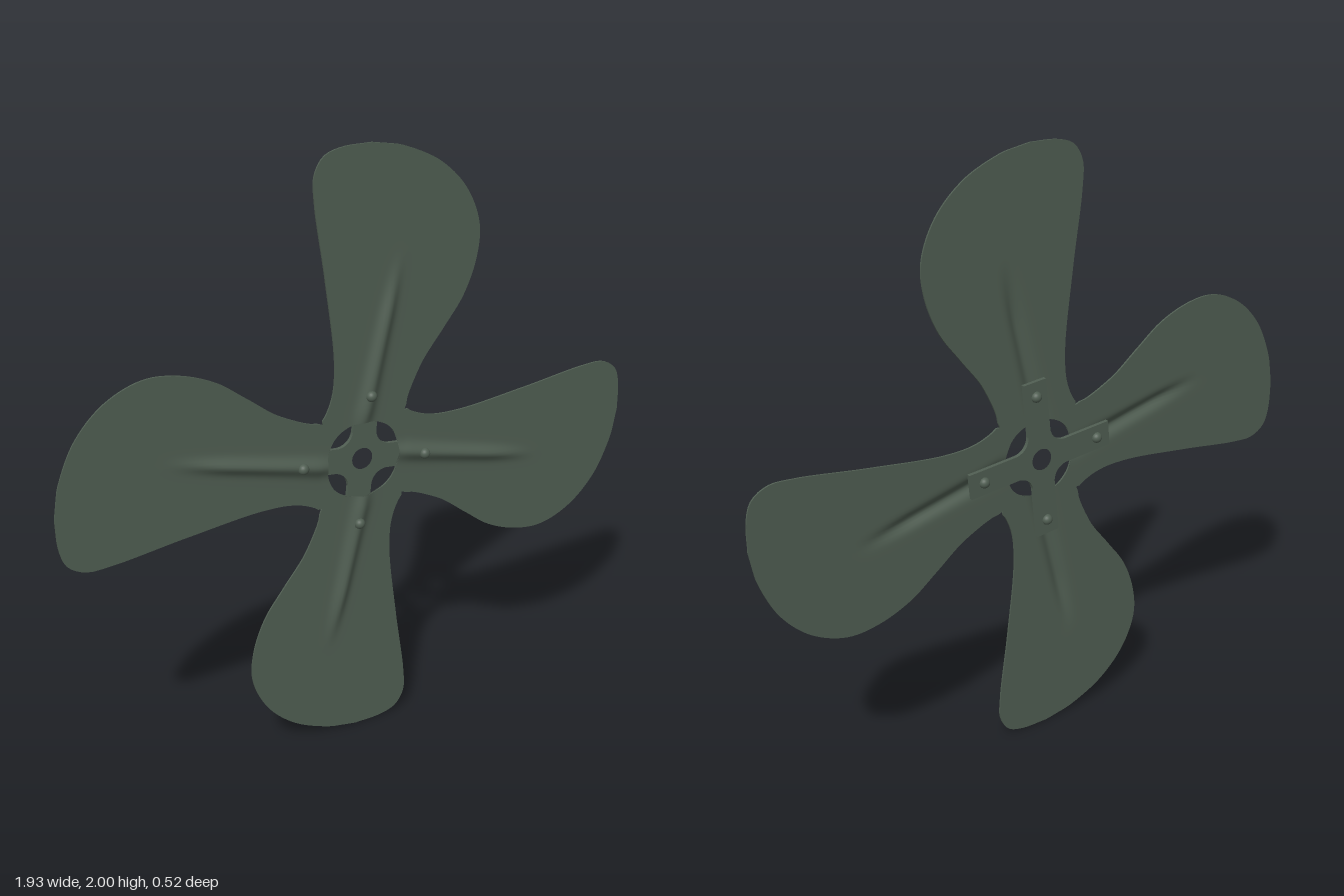
import * as THREE from 'three';
import { mergeGeometries } from 'three/addons/utils/BufferGeometryUtils.js';

const HUB_R = 0.133, HALF = 0.003, ROWS = 64, COLS = 48;
const V = (x, y) => new THREE.Vector2(x, y);
const curve = (pts) => new THREE.CatmullRomCurve3(pts.map(([x, y]) => new THREE.Vector3(x, y, 0)), false, 'centripetal');

// Both edges of one blade, from the notch beside the hub out to the tip
const leftEdge = curve([[-0.164, 0.172], [-0.138, 0.186], [-0.108, 0.233], [-0.098, 0.34], [-0.126, 0.605],
  [-0.158, 0.843], [-0.158, 0.923], [-0.126, 0.976], [-0.07, 0.996], [0.03, 1]]);
const rightEdge = curve([[0.172, 0.164], [0.17, 0.196], [0.207, 0.286], [0.285, 0.39], [0.356, 0.488],
  [0.4, 0.605], [0.406, 0.71], [0.356, 0.828], [0.258, 0.923], [0.131, 0.981], [0.1, 0.988]]);

// Short straight run from the hub opening to the notch, then the curved edge
function edgePoint(edge, t) {
  const k = 0.1;
  if (t >= k) return edge.getPointAt((t - k) / (1 - k));
  const notch = edge.getPointAt(0);
  return notch.clone().setLength(HUB_R).lerp(notch, t / k);
}

// Height of the pressed rib that runs along the blade
function ribHeight(x, y) {
  const a = V(0, 0.13), d = V(0.127, 0.525), len = d.length();
  d.normalize();
  const px = x - a.x, py = y - a.y;
  const along = (px * d.x + py * d.y) / len, across = px * d.y - py * d.x;
  const width = 0.026 - 0.008 * THREE.MathUtils.clamp(along, 0, 1);
  const fade = THREE.MathUtils.smoothstep(along, -0.15, 0.1) * (1 - THREE.MathUtils.smoothstep(along, 0.6, 1.04));
  return 0.018 * fade * Math.exp(-((across / width) ** 2));
}

function bladePoint(s, t, side) {
  const p = edgePoint(leftEdge, t).lerp(edgePoint(rightEdge, t), s);
  const bow = Math.max(0, 1 - t / 0.2);
  p.lerp(p.clone().setLength(HUB_R), bow * bow);
  p.z = ribHeight(p.x, p.y) + side * HALF;
  return p;
}

// Smooth surface over a grid of points
function gridGeometry(nu, nv, fn) {
  const pos = [], index = [];
  for (let j = 0; j <= nv; j++) for (let i = 0; i <= nu; i++) pos.push(...fn(i / nu, j / nv).toArray());
  for (let j = 0; j < nv; j++) for (let i = 0; i < nu; i++) {
    const a = j * (nu + 1) + i, b = a + nu + 1;
    index.push(a, a + 1, b + 1, a, b + 1, b);
  }
  const g = new THREE.BufferGeometry();
  g.setAttribute('position', new THREE.Float32BufferAttribute(pos, 3));
  g.setIndex(index);
  g.computeVertexNormals();
  return g;
}

function bladeGeometry() {
  return mergeGeometries([
    gridGeometry(COLS, ROWS, (s, t) => bladePoint(s, t, 1)),
    gridGeometry(COLS, ROWS, (s, t) => bladePoint(1 - s, t, -1)),
    // thin rim: left, right, tip and hub opening
    gridGeometry(1, ROWS, (w, t) => bladePoint(0, t, w * 2 - 1)),
    gridGeometry(1, ROWS, (w, t) => bladePoint(1, t, 1 - w * 2)),
    gridGeometry(COLS, 1, (s, w) => bladePoint(s, 1, 1 - w * 2)),
    gridGeometry(COLS, 1, (s, w) => bladePoint(s, 0, w * 2 - 1)),
  ]);
}

// Cross-shaped mounting bracket with a shaft hole
function bracketGeometry() {
  const w = 0.042, end = 0.268, root = 0.09;
  const shape = new THREE.Shape();
  for (let k = 0; k < 4; k++) {
    const at = (x, y) => V(x, y).rotateAround(V(0, 0), -k * Math.PI / 2).toArray();
    if (k === 0) shape.moveTo(...at(-w, end));
    else shape.lineTo(...at(-w, end));
    shape.lineTo(...at(w, end));
    shape.lineTo(...at(w, root));
    shape.quadraticCurveTo(...at(0.049, 0.049), ...at(root, w));
  }
  shape.closePath();
  const hole = new THREE.Path();
  hole.absarc(0, 0, 0.036, 0, Math.PI * 2, true);
  shape.holes.push(hole);
  return new THREE.ExtrudeGeometry(shape, { depth: 0.013, bevelEnabled: false, curveSegments: 24 });
}

export function createModel() {
  const green = new THREE.MeshStandardMaterial({ color: 0x505e52 });
  green.name = 'dark green paint';
  const model = new THREE.Group();
  model.name = 'fanBlades';
  const add = (parent, geometry, name) => {
    const mesh = new THREE.Mesh(geometry, green);
    mesh.name = name;
    parent.add(mesh);
    return mesh;
  };

  const blade = bladeGeometry();
  const dome = new THREE.SphereGeometry(0.018, 20, 8, 0, Math.PI * 2, 0, Math.PI / 2).rotateX(Math.PI / 2);
  const shank = new THREE.CylinderGeometry(0.011, 0.011, 0.04, 16).rotateX(Math.PI / 2);
  for (let k = 0; k < 4; k++) {
    const arm = new THREE.Group();
    arm.name = 'bladeArm';
    arm.rotation.z = -k * Math.PI / 2;
    add(arm, blade, 'blade');
    // rivet through the rib and bracket
    add(arm, dome, 'frontRivetHead').position.set(0.021, 0.217, 0.018);
    add(arm, shank, 'rivetShank').position.set(0.021, 0.217, 0);
    const back = add(arm, dome, 'backRivetHead');
    back.position.set(0.021, 0.217, -0.016);
    back.rotation.y = Math.PI;
    model.add(arm);
  }

  const bracket = add(model, bracketGeometry(), 'hubBracket');
  bracket.position.z = -0.0165;
  bracket.rotation.z = -0.096;

  // the whole fan is turned slightly about the vertical
  model.rotation.y = -Math.PI / 12;
  model.position.y = 1;
  const root = new THREE.Group();
  root.name = 'fan';
  root.add(model);
  return root;
}
